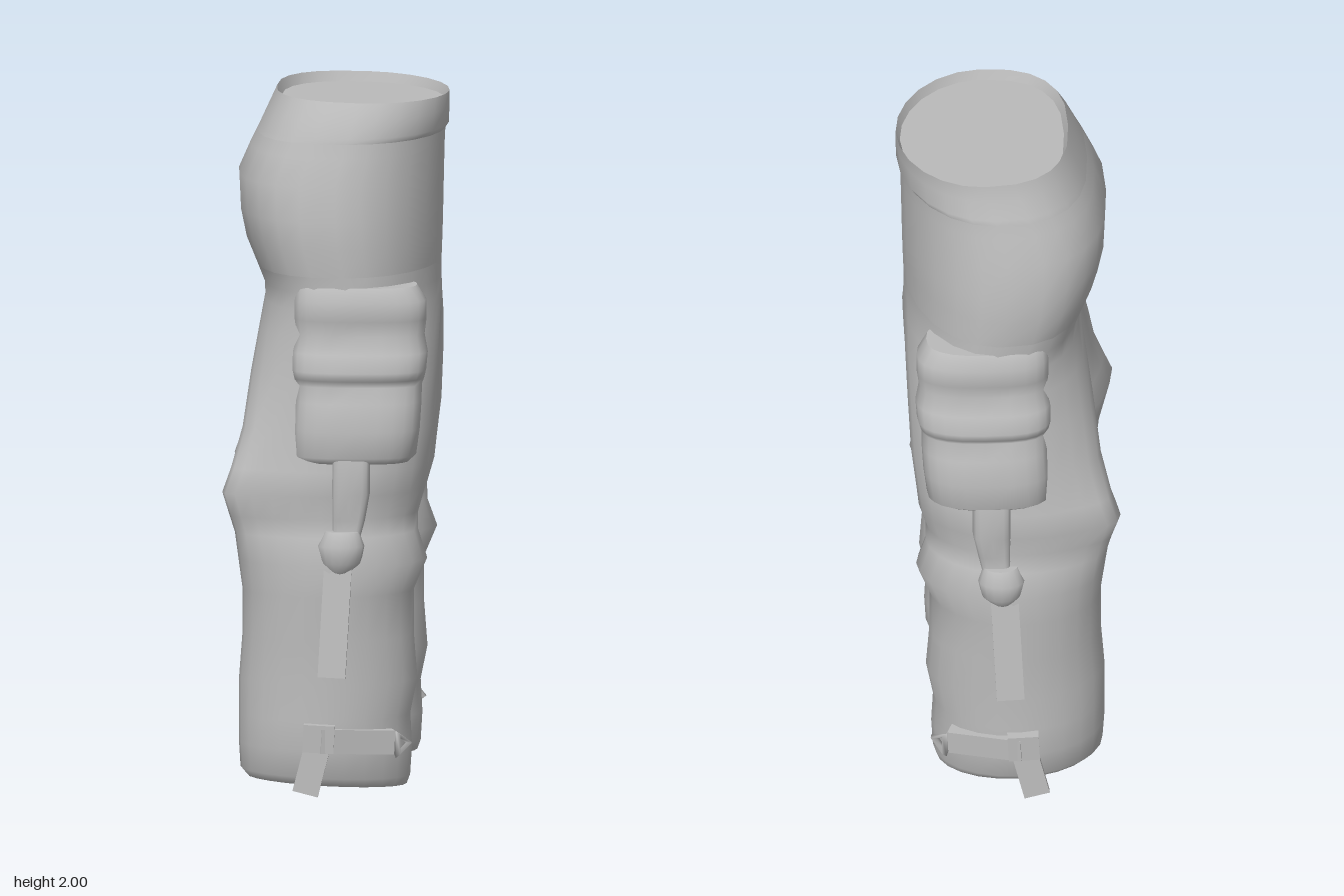
import * as THREE from 'three';

const cloth = new THREE.MeshStandardMaterial({ color: 0xbababa });
cloth.name = 'grey cloth';

const spow = (v, p) => Math.sign(v) * Math.abs(v) ** p;

// Loft through rings, bottom to top: [y, xMin, xMax, zMin, zMax, slope, flat].
// flat turns the ring into half an oval with a straight inner side.
// side -1 mirrors across z; knee pushes the rear outwards around knee height.
function loft(name, rows, options = {}) {
  const { side = 1, seg = 24, nBack = 2, nFront = 1.95, knee = 0, caps = [true, true] } = options;
  const pos = [], index = [];
  const point = (r, j) => {
    const [y, x0, x1, z0, z1, slope = 0, flat = 0] = r;
    const a = (j / seg) * Math.PI * 2, c = Math.cos(a), s = side * Math.sin(a);
    const p = 2 / (c < 0 ? nBack + 0.6 * flat : nFront);
    const x = (x0 + x1) / 2 + ((x1 - x0) / 2) * spow(c, p);
    const oval = (z0 + z1) / 2 + ((z1 - z0) / 2) * spow(s, p);
    const half = z0 + (z1 - z0) * spow(Math.max(0, s), p);
    const push = knee * Math.max(0, -c) ** 5 * Math.exp(-(((y - 0.87) / 0.2) ** 2));
    return [x, y + slope * x, side * (oval + (half - oval) * flat + push)];
  };
  rows.forEach((r, i) => {
    for (let j = 0; j < seg; j++) {
      pos.push(...point(r, j));
      if (i === rows.length - 1) continue;
      const a = i * seg + j, b = i * seg + (j + 1) % seg;
      index.push(a, a + seg, b, b, a + seg, b + seg);
    }
  });
  // End caps with their own vertices so that the rims stay crisp
  caps.forEach((on, top) => {
    if (!on) return;
    const r = rows[top ? rows.length - 1 : 0], first = pos.length / 3;
    const cx = (r[1] + r[2]) / 2;
    pos.push(cx, r[0] + (r[5] || 0) * cx, side * (r[3] + r[4]) / 2);
    for (let j = 0; j < seg; j++) {
      pos.push(...point(r, j));
      const a = first + 1 + j, b = first + 1 + (j + 1) % seg;
      index.push(first, top ? b : a, top ? a : b);
    }
  });
  const g = new THREE.BufferGeometry();
  g.setAttribute('position', new THREE.Float32BufferAttribute(pos, 3));
  g.setIndex(index);
  g.computeVertexNormals();
  const m = new THREE.Mesh(g, cloth);
  m.name = name;
  return m;
}

function box(name, size, at, rot) {
  const m = new THREE.Mesh(new THREE.BoxGeometry(...size), cloth);
  m.name = name;
  m.position.set(...at);
  m.rotation.set(...rot);
  return m;
}

// Trouser leg rows; the inner edge differs a little between the two legs
const legRows = (inner) => [
  [0.025, -0.25, 0.21, inner[0] + 0.03, 0.47, -0.05],
  [0.05, -0.27, 0.22, inner[0], 0.495, -0.04],
  [0.13, -0.275, 0.225, inner[1], 0.505, -0.02],
  [0.22, -0.275, 0.22, inner[1], 0.505],
  [0.32, -0.275, 0.24, inner[2], 0.495],
  [0.45, -0.265, 0.23, inner[2], 0.497],
  [0.58, -0.265, 0.23, inner[3], 0.497],
  [0.67, -0.275, 0.268, inner[3], 0.5],
  [0.75, -0.285, 0.24, inner[4], 0.48],
  [0.8, -0.3, 0.24, inner[4], 0.458],
  [0.87, -0.32, 0.26, inner[5], 0.478],
  [0.94, -0.295, 0.268, inner[5], 0.465],
  [1.05, -0.265, 0.282, inner[6], 0.445],
  [1.2, -0.245, 0.29, inner[7], 0.425, 0, 0.15],
  [1.32, -0.225, 0.295, inner[8], 0.415, 0, 0.5],
  [1.4, -0.212, 0.295, 0.007, 0.412, 0, 0.85],
  [1.45, -0.215, 0.295, 0, 0.412, 0, 1],
  [1.5, -0.235, 0.295, 0, 0.412, 0, 1],
];

// Everything on the outside of one leg
function legDetails(side) {
  const g = new THREE.Group();
  g.name = side > 0 ? 'leftLegDetails' : 'rightLegDetails';
  g.add(
    // Cargo pocket: bag below, puffed flap above
    loft('cargoPocket', [
      [0.965, -0.1, 0.22, 0.27, 0.465], [0.985, -0.115, 0.24, 0.27, 0.49], [1.06, -0.115, 0.25, 0.26, 0.485],
      [1.14, -0.11, 0.255, 0.26, 0.475], [1.185, -0.11, 0.255, 0.25, 0.445],
      [1.205, -0.115, 0.262, 0.25, 0.462], [1.23, -0.12, 0.268, 0.25, 0.47], [1.28, -0.12, 0.272, 0.24, 0.45],
      [1.33, -0.11, 0.262, 0.24, 0.422], [1.375, -0.115, 0.268, 0.24, 0.435],
      [1.43, -0.115, 0.268, 0.23, 0.435], [1.47, -0.11, 0.24, 0.22, 0.41],
    ], { side, nBack: 3, nFront: 2.6 }),
    // Upper strap, its knot and the loose tail
    loft('upperStrap', [
      [0.74, 0.0, 0.08, 0.4, 0.49], [0.8, 0.0, 0.095, 0.4, 0.472],
      [0.88, 0.0, 0.11, 0.4, 0.495], [0.98, 0.0, 0.11, 0.4, 0.48],
    ], { side, seg: 16, nBack: 4, nFront: 4 }),
    loft('strapKnot', [
      [0.65, -0.01, 0.06, 0.44, 0.5], [0.68, -0.03, 0.085, 0.43, 0.52], [0.73, -0.04, 0.095, 0.43, 0.525],
      [0.77, -0.02, 0.08, 0.43, 0.5],
    ], { side, seg: 16 }),
    box('strapTail', [0.08, 0.36, 0.022], [0.012, 0.53, side * 0.508], [-side * 0.16, 0, -0.05]),
    // Ankle strap, buckle and tail
    box('ankleStrap', [0.22, 0.07, 0.05], [0.07, 0.16, side * 0.478], [0, side * 0.32, -0.05]),
    box('ankleStrapEnd', [0.09, 0.08, 0.05], [-0.035, 0.172, side * 0.508], [0, 0, -0.05]),
    box('ankleTail', [0.075, 0.15, 0.02], [-0.055, 0.085, side * 0.525], [-side * 0.07, 0, -0.25]),
  );
  const buckle = new THREE.Mesh(new THREE.TorusGeometry(0.034, 0.012, 4, 3), cloth);
  buckle.name = 'ankleBuckle';
  buckle.position.set(0.2, 0.15, side * 0.455);
  buckle.rotation.y = side * 0.9;
  g.add(buckle);
  return g;
}

export function createModel() {
  const model = new THREE.Group();
  model.name = 'cargoTrousers';

  // Seat and hips, open where the legs and waistband join
  model.add(loft('hips', [
    [1.5, -0.235, 0.295, -0.412, 0.412],
    [1.58, -0.268, 0.298, -0.413, 0.413],
    [1.66, -0.285, 0.3, -0.405, 0.405],
    [1.76, -0.29, 0.302, -0.385, 0.385],
    [1.84, -0.255, 0.304, -0.358, 0.358],
    [1.88, -0.235, 0.306, -0.347, 0.347],
  ], { nBack: 2.6, caps: [false, false] }));

  // Waistband, and the shallow recess closing the waist
  model.add(loft('waistband', [
    [1.88, -0.235, 0.306, -0.347, 0.347],
    [1.895, -0.228, 0.316, -0.343, 0.343],
    [1.945, -0.205, 0.318, -0.318, 0.322],
    [1.994, -0.18, 0.318, -0.308, 0.288, -0.025],
  ], { nBack: 2.6, caps: [false, false] }));
  model.add(loft('waistRecess', [
    [1.994, -0.18, 0.318, -0.308, 0.288, -0.025],
    [1.965, -0.168, 0.306, -0.296, 0.276, -0.02],
  ], { nBack: 2.6, caps: [false, true] }));

  // Legs
  const inner = {
    1: [0.155, 0.13, 0.12, 0.1, 0.06, 0.045, 0.045, 0.03, 0.015],
    '-1': [0.115, 0.105, 0.1, 0.095, 0.095, 0.1, 0.08, 0.05, 0.02],
  };
  for (const side of [1, -1]) {
    model.add(loft(side > 0 ? 'leftLeg' : 'rightLeg', legRows(inner[side]),
      { side, knee: side > 0 ? 0.12 : 0.07, caps: [true, false] }));
    model.add(legDetails(side));
  }
  return model;
}
